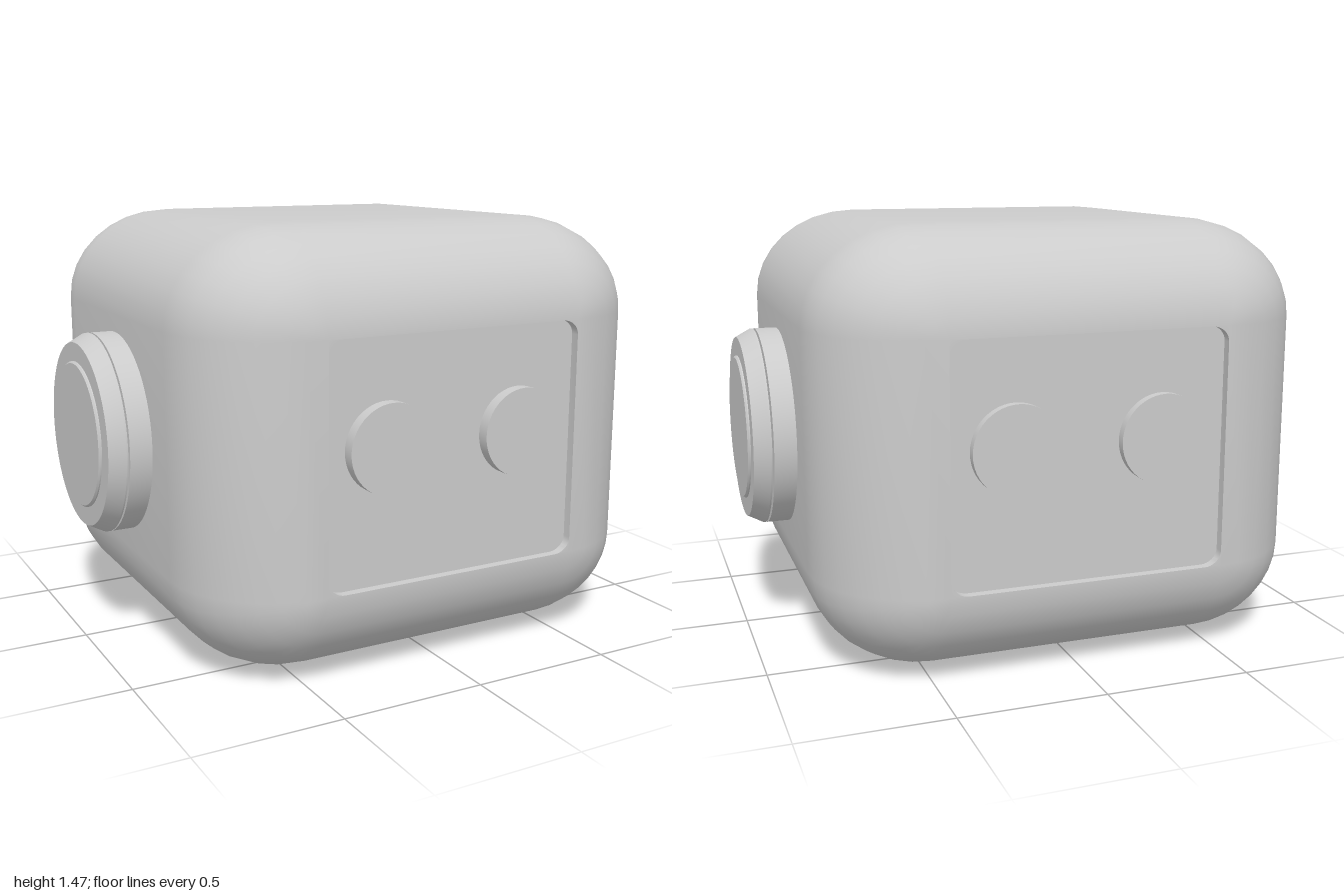
import * as THREE from 'three';
import { toCreasedNormals } from 'three/addons/utils/BufferGeometryUtils.js';

const material = new THREE.MeshStandardMaterial({ color: 0xcccccc });
const HEIGHT = 1.465, MID_Y = HEIGHT / 2, MID_Z = -0.006;
const HALF = 0.85, FLAT = 0.47, ROUND = HALF - FLAT; // body as a rounded cube, squashed in y
const SQUASH = MID_Y / HALF;
const STEPS = 8, RECESS = 0.03;

function addMesh(parent, name, geometry) {
  const mesh = new THREE.Mesh(toCreasedNormals(geometry, 0.4), material);
  mesh.name = name;
  parent.add(mesh);
  return mesh;
}

// Rounded-square loop: corner centres at +-inset, corner radius r
function loop(inset, r, z) {
  const points = [];
  for (let q = 0; q < 4; q++) {
    const sx = q === 0 || q === 3 ? 1 : -1, sy = q < 2 ? 1 : -1;
    for (let i = 0; i <= STEPS; i++) {
      const a = (q + i / STEPS) * Math.PI / 2;
      points.push(new THREE.Vector3(
        sx * inset + r * Math.cos(a), (sy * inset + r * Math.sin(a)) * SQUASH, z));
    }
  }
  return points;
}

// Body: loops from the front recess, round the outside, to the back recess
function bodyGeometry() {
  const half = (s) => {
    const rows = [
      loop(0, 0, s * (HALF - RECESS)),
      loop(FLAT - 0.06, 0.06, s * (HALF - RECESS)),
      loop(FLAT - 0.06, 0.06, s * HALF),
    ];
    for (let i = 0; i <= STEPS; i++) {
      const t = i / STEPS * Math.PI / 2;
      rows.push(loop(FLAT, ROUND * Math.sin(t), s * (FLAT + ROUND * Math.cos(t))));
    }
    return rows;
  };
  const rows = [...half(1), ...half(-1).reverse()];
  const positions = [], tri = new THREE.Triangle();
  const face = (a, b, c) => {
    if (tri.set(a, b, c).getArea() < 1e-9) return;
    for (const p of [a, b, c]) positions.push(p.x, p.y, p.z);
  };
  const n = rows[0].length;
  for (let j = 0; j < rows.length - 1; j++) {
    for (let i = 0; i < n; i++) {
      const k = (i + 1) % n;
      face(rows[j][i], rows[j + 1][i], rows[j][k]);
      face(rows[j][k], rows[j + 1][i], rows[j + 1][k]);
    }
  }
  const geometry = new THREE.BufferGeometry();
  geometry.setAttribute('position', new THREE.Float32BufferAttribute(positions, 3));
  return geometry;
}

const lathe = (profile) =>
  new THREE.LatheGeometry(profile.map(([r, y]) => new THREE.Vector2(r, y)), 64);

export function createModel() {
  const model = new THREE.Group();
  addMesh(model, 'body', bodyGeometry()).position.set(0, MID_Y, MID_Z);

  // Pairs of eye discs inside both recesses; the front pair stands proud
  for (const [name, s, top] of [['front', 1, HALF + 0.012], ['back', -1, HALF]]) {
    const bottom = HALF - RECESS - 0.01;
    for (const x of [-0.25, 0.25]) {
      const disc = new THREE.CylinderGeometry(0.149, 0.149, top - bottom, 48).rotateX(Math.PI / 2);
      addMesh(model, name + 'Eye', disc).position.set(x, 0.78, MID_Z + s * (top + bottom) / 2);
    }
  }

  // Ear pieces: base drum, bevelled cap and raised centre disc
  for (const [name, s] of [['leftEar', 1], ['rightEar', -1]]) {
    const ear = new THREE.Group();
    ear.name = name;
    ear.position.set(0, MID_Y, MID_Z);
    ear.rotation.z = -s * Math.PI / 2;
    addMesh(ear, 'earBase', lathe([[0.345, 0.8], [0.345, 0.926], [0, 0.926]]));
    addMesh(ear, 'earCap', lathe([[0, 0.932], [0.345, 0.932], [0.345, 0.937], [0.317, 0.99], [0, 0.99]]));
    addMesh(ear, 'earDisc', lathe([[0.252, 0.98], [0.252, 0.994], [0.246, 1], [0, 1]]));
    model.add(ear);
  }
  return model;
}
